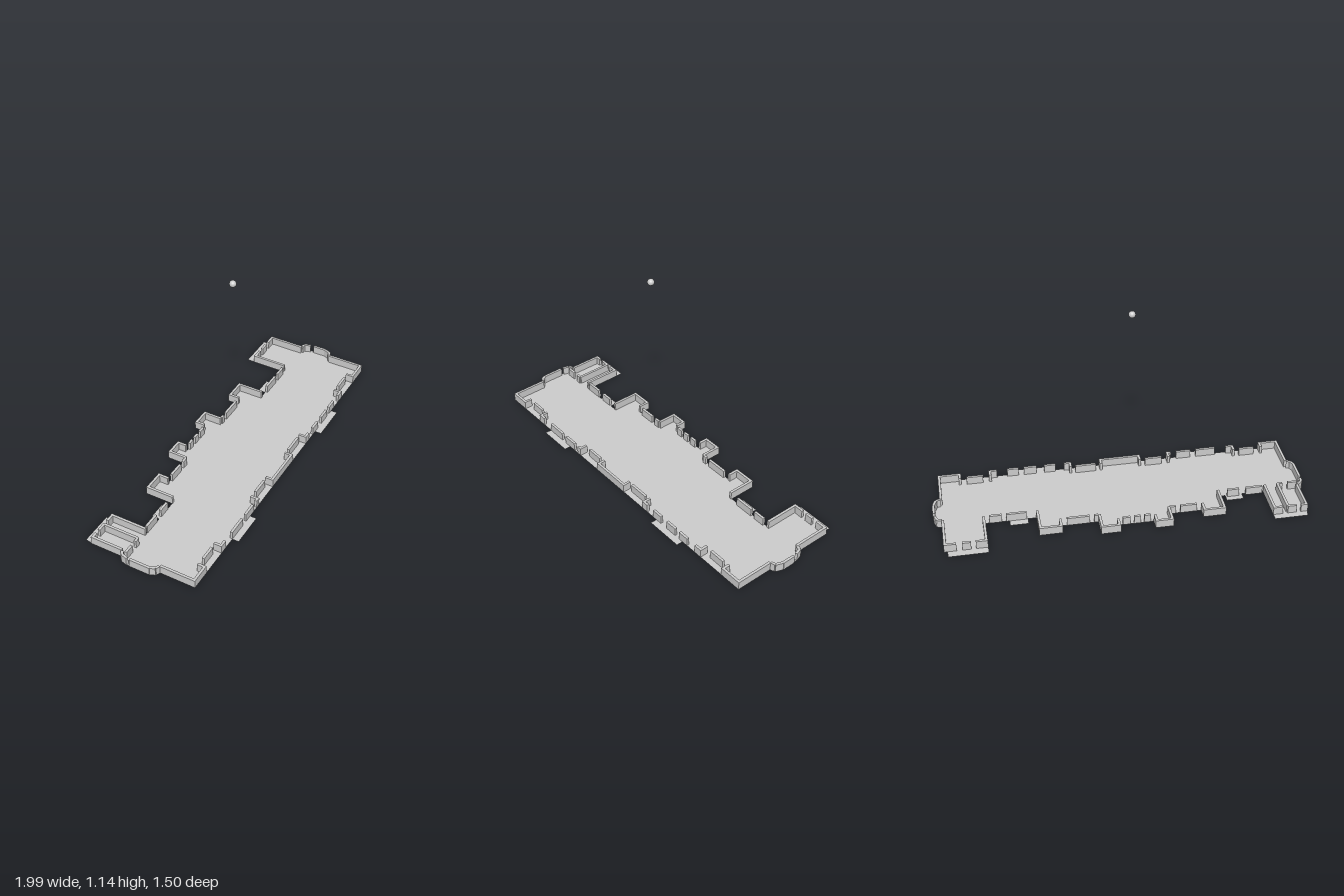
import * as THREE from 'three';

const HEIGHT = 0.045, THICK = 0.014;

export function createModel() {
  const model = new THREE.Group();
  const mat = new THREE.MeshStandardMaterial({ color: 0xcccccc, side: THREE.DoubleSide });

  // The plan is drawn square-on as [along, across] and then turned as a whole
  const building = new THREE.Group();
  building.name = 'building';
  building.rotation.y = THREE.MathUtils.degToRad(29.5);
  model.add(building);

  // Thin floor plate with balconies and end bays
  const outline = [
    [-0.968, 0.306], [-0.602, 0.306], [-0.602, 0.342], [-0.415, 0.342], [-0.415, 0.306],
    [0.34, 0.306], [0.34, 0.342], [0.548, 0.342], [0.548, 0.306], [0.966, 0.306],
    [0.963, 0.096], [0.991, 0.088], [1.008, 0.047], [1.004, -0.045], [0.99, -0.086], [0.963, -0.088],
    [0.965, -0.29], [0.947, -0.29], [0.947, -0.336], [0.738, -0.336], [0.738, -0.1],
    [0.61, -0.1], [0.61, -0.14], [0.512, -0.14], [0.512, -0.1], [0.468, -0.1],
    [0.468, -0.246], [0.344, -0.246], [0.344, -0.19], [0.149, -0.19], [0.149, -0.291],
    [0.044, -0.291], [0.044, -0.236], [-0.14, -0.236], [-0.14, -0.291], [-0.238, -0.291],
    [-0.238, -0.19], [-0.408, -0.19], [-0.408, -0.242], [-0.531, -0.242], [-0.531, -0.09],
    [-0.566, -0.09], [-0.566, -0.132], [-0.659, -0.132], [-0.659, -0.09], [-0.778, -0.09],
    [-0.778, -0.331], [-0.959, -0.331], [-0.967, -0.285], [-0.966, -0.112],
    [-0.992, -0.1], [-1.003, -0.07], [-1.004, 0.07], [-0.99, 0.1], [-0.968, 0.108],
  ];
  const shape = new THREE.Shape(outline.map(([u, v]) => new THREE.Vector2(u, -v)));
  const floor = new THREE.Mesh(new THREE.ShapeGeometry(shape).rotateX(-Math.PI / 2), mat);
  floor.position.y = 0.001;
  floor.name = 'floorPlate';
  building.add(floor);

  // Straight wall between two plan points
  const wall = (name, u0, v0, u1, v1) => {
    const length = Math.hypot(u1 - u0, v1 - v0);
    const mesh = new THREE.Mesh(new THREE.BoxGeometry(length, HEIGHT, THICK), mat);
    mesh.position.set((u0 + u1) / 2, HEIGHT / 2, (v0 + v1) / 2);
    mesh.rotation.y = -Math.atan2(v1 - v0, u1 - u0);
    mesh.name = name;
    building.add(mesh);
  };
  const row = (name, v, spans) => spans.forEach(([a, b]) => wall(name, a, v, b, v));
  const cross = (name, runs) => runs.forEach(([u, a, b]) => wall(name, u, a, u, b));

  // Front walls, broken by window openings
  row('frontWall', 0.299, [
    [-0.968, -0.856], [-0.71, -0.665], [-0.6, -0.49], [-0.458, -0.376], [-0.345, -0.32],
    [-0.16, 0.06], [0.231, 0.265], [0.313, 0.376], [0.42, 0.49], [0.52, 0.583], [0.64, 0.68], [0.846, 0.966],
  ]);
  row('recessedFrontWall', 0.265, [[-0.82, -0.735], [-0.285, -0.19], [0.09, 0.205], [0.72, 0.81]]);
  cross('frontReturn', [-0.863, -0.703, -0.325, -0.16, 0.06, 0.231, 0.68, 0.846].map(u => [u, 0.26, 0.306]));

  // Back walls, stepping in and out
  row('backWall', -0.094, [[0.65, 0.716], [0.518, 0.626], [-0.77, -0.678], [-0.64, -0.575]]);
  row('backBayWall', -0.239, [[0.344, 0.468], [-0.531, -0.408]]);
  row('backLinkWall', -0.183, [[0.149, 0.17], [0.195, 0.315], [-0.27, -0.238], [-0.385, -0.295]]);
  row('backTowerWall', -0.284, [[0.044, 0.149], [-0.238, -0.14]]);
  row('backCentreWall', -0.229, [[-0.015, 0.025], [-0.07, -0.035], [-0.125, -0.09]]);
  cross('backReturn', [
    [0.461, -0.246, -0.094], [0.351, -0.246, -0.183], [0.142, -0.291, -0.183], [0.051, -0.291, -0.235],
    [-0.147, -0.291, -0.235], [-0.231, -0.291, -0.183], [-0.415, -0.242, -0.183], [-0.524, -0.242, -0.088],
  ]);

  // Wings at both ends
  row('wingBackWall', -0.287, [
    [0.738, 0.8], [0.825, 0.87], [0.9, 0.965], [-0.967, -0.93], [-0.905, -0.858], [-0.83, -0.778],
  ]);
  cross('wingSideWall', [
    [0.745, -0.294, -0.094], [0.958, -0.294, -0.088], [0.959, 0.096, 0.306],
    [-0.785, -0.294, -0.088], [-0.96, -0.294, -0.112], [-0.961, 0.108, 0.306],
  ]);

  // Small room inside one wing
  cross('partition', [[-0.858, -0.287, -0.087]]);
  row('partition', -0.087, [[-0.967, -0.915], [-0.885, -0.858]]);

  // Bay windows on the end walls
  const bay = (name, pts) => pts.forEach(p => wall(name, ...p));
  bay('leftEndBay', [
    [0.963, -0.085, 0.986, -0.082], [0.986, -0.082, 0.998, -0.045],
    [1.001, -0.025, 1.001, 0.047], [1.001, 0.047, 0.986, 0.085], [0.986, 0.085, 0.963, 0.092],
  ]);
  bay('rightEndBay', [
    [-0.966, -0.108, -0.988, -0.095], [-0.988, -0.095, -0.997, -0.06],
    [-0.997, -0.045, -0.997, 0.07], [-0.997, 0.07, -0.985, 0.095], [-0.985, 0.095, -0.966, 0.104],
  ]);

  // Ball floating high above the centre
  const ball = new THREE.Mesh(new THREE.SphereGeometry(0.018, 32, 20), mat);
  ball.position.set(-0.05, 1.12, 0.04);
  ball.name = 'floatingBall';
  model.add(ball);

  return model;
}
